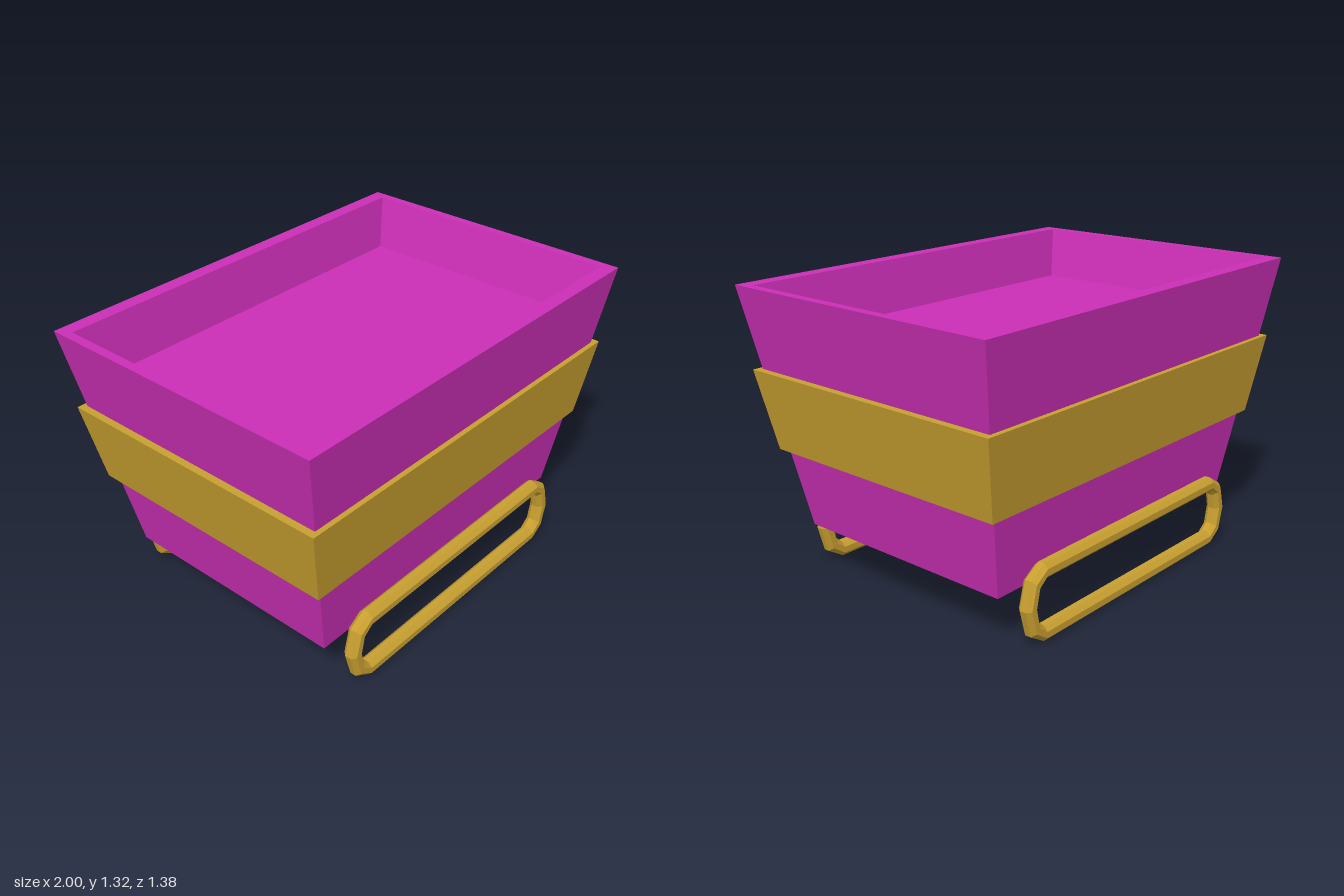
import * as THREE from 'three';

const purple = new THREE.MeshStandardMaterial({ color: 0xcc2fb7, flatShading: true });
const gold = new THREE.MeshStandardMaterial({ color: 0xc89f30, flatShading: true });

function facets(points, index) {
  const geometry = new THREE.BufferGeometry();
  geometry.setAttribute('position', new THREE.Float32BufferAttribute(points, 3));
  geometry.setIndex(index);
  const flat = geometry.toNonIndexed();
  flat.computeVertexNormals();
  return flat;
}

// Skins a stack of rectangles [halfX, halfZ, y] and closes both ends
function rectLoft(rings) {
  const points = [], index = [];
  for (const [hx, hz, y] of rings) {
    points.push(-hx, y, hz, hx, y, hz, hx, y, -hz, -hx, y, -hz);
  }
  for (let r = 0; r < rings.length - 1; r++) {
    for (let i = 0; i < 4; i++) {
      const a = r * 4 + i, b = r * 4 + (i + 1) % 4;
      index.push(a, b, b + 4, a, b + 4, a + 4);
    }
  }
  const t = (rings.length - 1) * 4;
  index.push(0, 2, 1, 0, 3, 2, t, t + 1, t + 2, t, t + 2, t + 3);
  return facets(points, index);
}

// Octagonal bar swept round a long loop with faceted, slightly squashed ends
function loopGeometry() {
  const points = [], index = [], sides = 8, count = 10;
  const halfStraight = 0.6, endX = 0.08, endY = 0.136;
  const radius = 0.034 / Math.cos(Math.PI / sides);
  for (let p = 0; p < count; p++) {
    const end = p < 5 ? 1 : -1;
    const theta = -Math.PI / 2 + (p < 5 ? p : p - 1) * Math.PI / 4;
    for (let s = 0; s < sides; s++) {
      const phi = (s + 0.5) / sides * Math.PI * 2;
      const out = radius * Math.cos(phi);
      points.push(
        end * halfStraight + (endX + out) * Math.cos(theta),
        (endY + out) * Math.sin(theta),
        radius * Math.sin(phi));
      const q = (p + 1) % count, n = (s + 1) % sides;
      const a = p * sides + s, b = q * sides + s, c = q * sides + n, d = p * sides + n;
      index.push(a, b, c, a, c, d);
    }
  }
  return facets(points, index);
}

export function createModel() {
  const model = new THREE.Group();
  model.name = 'flaredTub';

  function add(name, geometry, material) {
    const mesh = new THREE.Mesh(geometry, material);
    mesh.name = name;
    model.add(mesh);
    return mesh;
  }

  // Flared tub: outer wall, flat rim, sloping recess and its floor
  add('tub', rectLoft([
    [0.787, 0.545, 0.233],
    [1.0, 0.692, 1.32],
    [0.96, 0.627, 1.32],
    [0.897, 0.585, 1.088],
  ]), purple);

  // Wide band round the middle
  add('band', rectLoft([
    [0.89, 0.617, 0.597],
    [0.962, 0.666, 0.958],
  ]), gold);

  // Loop-shaped runners at front and back
  const loop = loopGeometry();
  for (const [name, side] of [['frontLoop', 1], ['backLoop', -1]]) {
    add(name, loop, gold).position.set(0, 0.17, side * 0.606);
  }

  return model;
}
